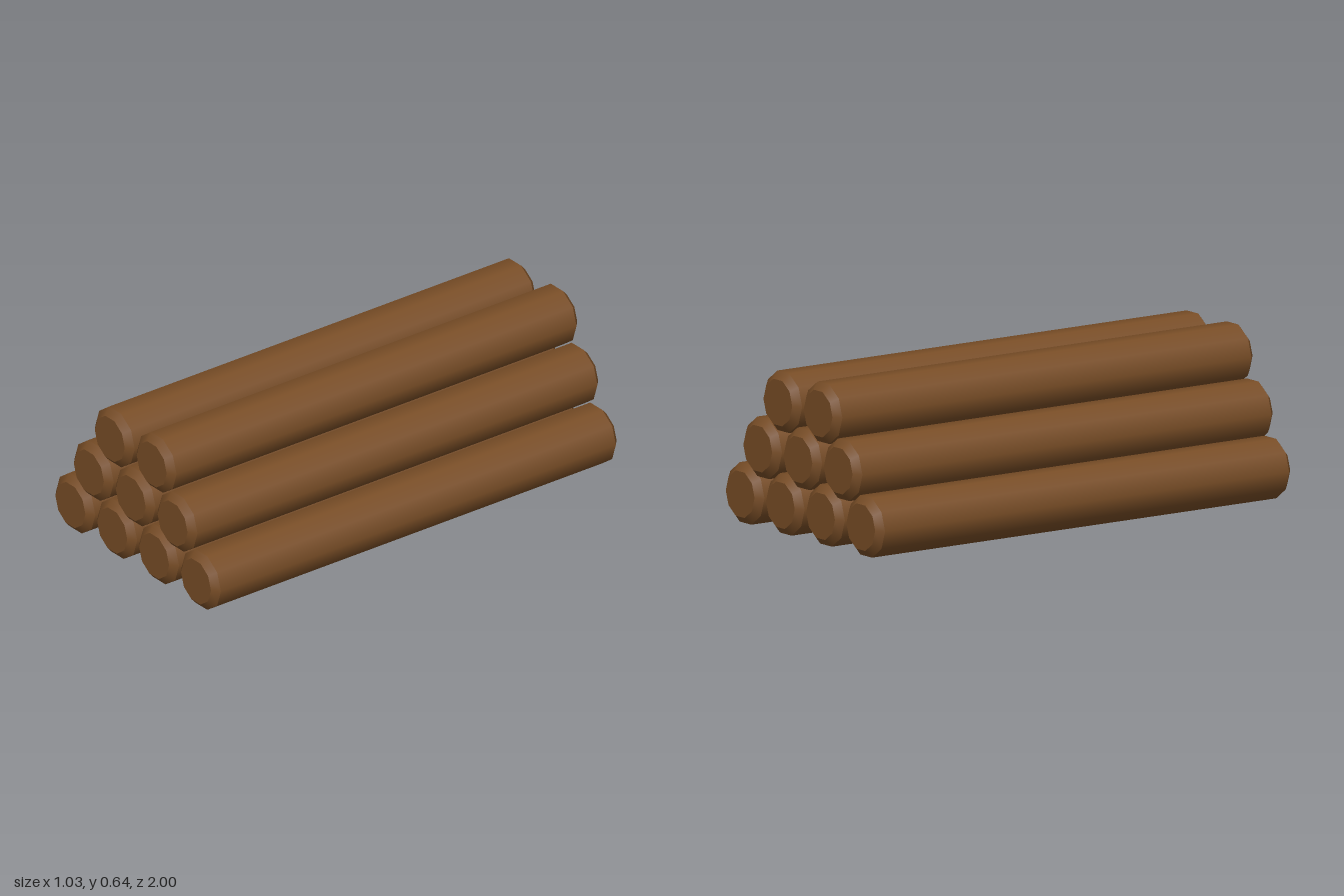
import * as THREE from 'three';
import { mergeGeometries } from 'three/addons/utils/BufferGeometryUtils.js';

const SIDES = 10, RADIUS = 0.1225, CAP_RADIUS = 0.0935, BEVEL = 0.026;

// Ten-sided log along z: smooth bark, bevelled rims and flat cut ends
function logGeometry(half) {
  const tube = (front, back, length, z) =>
    new THREE.CylinderGeometry(front, back, length, SIDES, 1, true, Math.PI / 2)
      .rotateX(Math.PI / 2).translate(0, 0, z);
  const rimZ = half - BEVEL / 2;
  return mergeGeometries([
    tube(RADIUS, RADIUS, 2 * (half - BEVEL), 0),
    tube(CAP_RADIUS, RADIUS, BEVEL, rimZ),
    tube(RADIUS, CAP_RADIUS, BEVEL, -rimZ),
    new THREE.CircleGeometry(CAP_RADIUS, SIDES).translate(0, 0, half),
    new THREE.CircleGeometry(CAP_RADIUS, SIDES).rotateY(Math.PI).translate(0, 0, -half),
  ]);
}

export function createModel() {
  const model = new THREE.Group();
  model.name = 'logPile';
  const wood = new THREE.MeshStandardMaterial({ color: 0x784d26 });
  wood.name = 'brown wood';

  // Rows from the ground up; the bottom logs are slightly shorter
  const rows = [
    { name: 'bottomRow', count: 4, y: 0.1175, half: 0.988 },
    { name: 'middleRow', count: 3, y: 0.319, half: 1 },
    { name: 'topRow', count: 2, y: 0.521, half: 1 },
  ];
  const spacing = 0.261;
  for (const { name, count, y, half } of rows) {
    const row = new THREE.Group();
    row.name = name;
    const geometry = logGeometry(half);
    for (let i = 0; i < count; i++) {
      const log = new THREE.Mesh(geometry, wood);
      log.name = 'log';
      log.position.set((i - (count - 1) / 2) * spacing, y, 0);
      row.add(log);
    }
    model.add(row);
  }
  return model;
}
